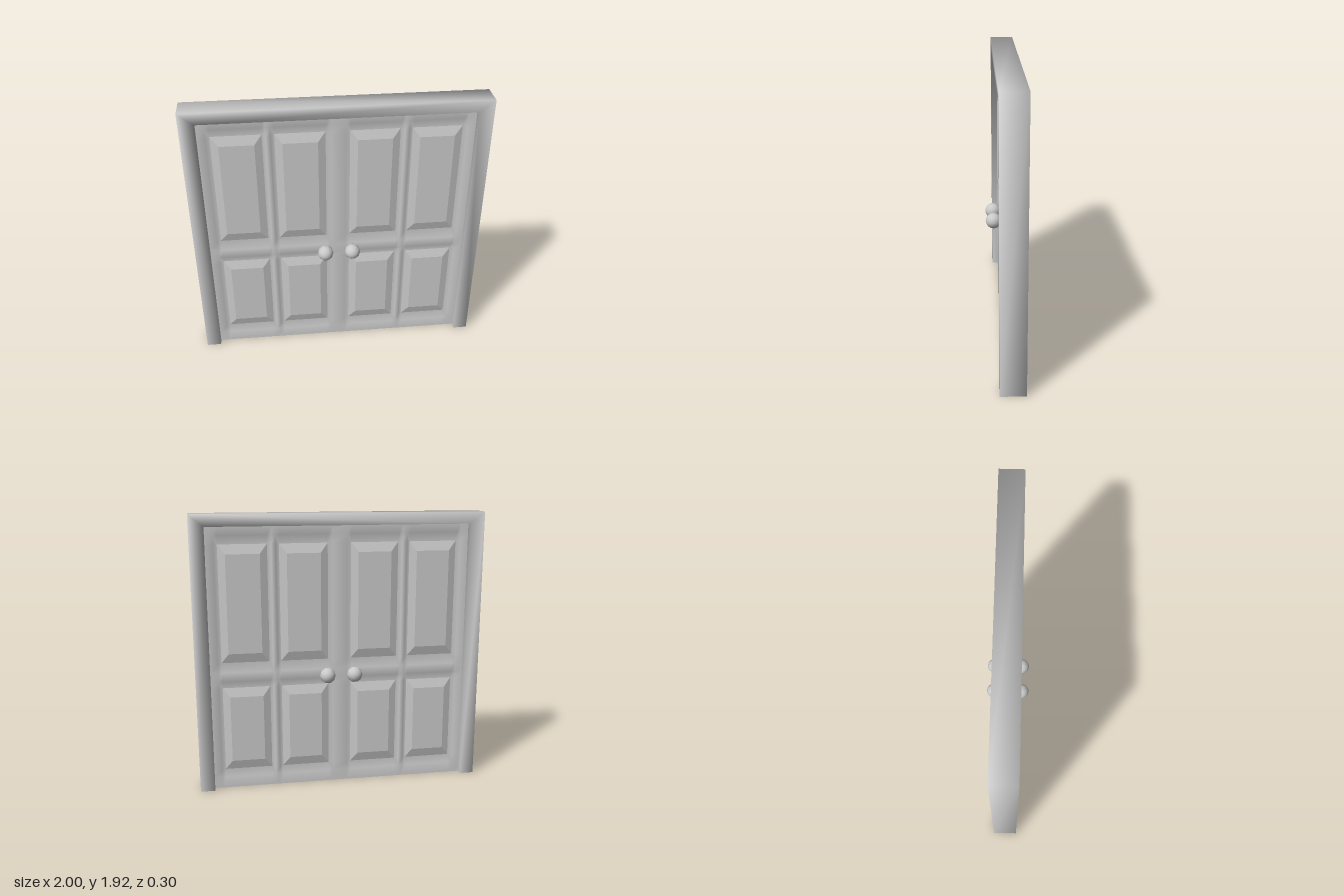
import * as THREE from 'three';
import { mergeVertices } from 'three/addons/utils/BufferGeometryUtils.js';

const FACE = 0.04, DEEP = 0.015, FIELD = 0.033;
const material = new THREE.MeshStandardMaterial({ color: 0xcccccc });
const flat = new THREE.MeshStandardMaterial({ color: 0xcccccc, flatShading: true });

// Recess floors: columns (x) and rows (y)
const columns = [[-0.82, -0.49], [-0.41, -0.08], [0.08, 0.41], [0.49, 0.82]];
const rows = [[0.13, 0.73], [0.91, 1.72]];

function addMesh(parent, name, geometry, mat = material) {
  const mesh = new THREE.Mesh(geometry, mat);
  mesh.name = name;
  parent.add(mesh);
  return mesh;
}

// Weld all corners so the shading rolls softly around the edges
function soften(geometry) {
  geometry.deleteAttribute('normal');
  geometry.deleteAttribute('uv');
  const welded = mergeVertices(geometry, 1e-4);
  welded.computeVertexNormals();
  return welded;
}

// Door face: a grid whose inner points sink, with mitred recess corners
function doorFaceGeometry() {
  const xs = [-0.9, -0.845, -0.82, -0.49, -0.465, -0.435, -0.41, -0.08, -0.05,
    0.05, 0.08, 0.41, 0.435, 0.465, 0.49, 0.82, 0.845, 0.9];
  const ys = [0, 0.08, 0.13, 0.73, 0.78, 0.845, 0.91, 1.72, 1.78, 1.84];
  const sunk = (x, y) => columns.some((c) => c.includes(x)) && rows.some((r) => r.includes(y));
  const positions = [], index = [], n = xs.length;
  for (const y of ys) for (const x of xs) positions.push(x, y, sunk(x, y) ? DEEP : FACE);
  for (let j = 0; j < ys.length - 1; j++) {
    for (let i = 0; i < n - 1; i++) {
      const a = j * n + i, b = a + 1, d = a + n, c = d + 1;
      const mitreBD = sunk(xs[i + 1], ys[j]) || sunk(xs[i], ys[j + 1]);
      if (mitreBD) index.push(a, b, d, b, c, d);
      else index.push(a, b, c, a, c, d);
    }
  }
  const geometry = new THREE.BufferGeometry();
  geometry.setAttribute('position', new THREE.Float32BufferAttribute(positions, 3));
  geometry.setIndex(index);
  geometry.computeVertexNormals();
  return geometry;
}

// Raised panel: a block whose front corners are drawn in to form the bevel
function raisedPanelGeometry(w, h) {
  const depth = FIELD - DEEP;
  const geometry = new THREE.BoxGeometry(w, h, depth);
  const p = geometry.attributes.position;
  for (let i = 0; i < p.count; i++) {
    if (p.getZ(i) > 0) {
      p.setX(i, p.getX(i) - Math.sign(p.getX(i)) * 0.05);
      p.setY(i, p.getY(i) - Math.sign(p.getY(i)) * 0.065);
    }
  }
  geometry.translate(0, 0, DEEP + depth / 2);
  return geometry;
}

// One side of the double door: face, panels and knobs
function createDoorSide(name) {
  const side = new THREE.Group();
  side.name = name;
  addMesh(side, 'doorFace', doorFaceGeometry());
  for (const [x0, x1] of columns) {
    for (const [y0, y1] of rows) {
      const panel = addMesh(side, 'raisedPanel', raisedPanelGeometry(x1 - x0, y1 - y0), flat);
      panel.position.set((x0 + x1) / 2, (y0 + y1) / 2, 0);
    }
  }
  for (const x of [-0.095, 0.095]) {
    const knob = addMesh(side, 'knob', new THREE.SphereGeometry(0.055, 10, 8).rotateX(Math.PI / 2));
    knob.position.set(x, 0.81, 0.095);
    const neck = addMesh(side, 'knobNeck', new THREE.CylinderGeometry(0.02, 0.02, 0.05, 8).rotateX(Math.PI / 2));
    neck.position.set(x, 0.81, 0.055);
  }
  return side;
}

export function createModel() {
  const model = new THREE.Group();
  model.name = 'doubleDoor';

  // Frame around the top and sides
  const outline = new THREE.Shape([
    [-1, 0], [-0.9, 0], [-0.9, 1.84], [0.9, 1.84], [0.9, 0], [1, 0], [1, 1.92], [-1, 1.92],
  ].map(([x, y]) => new THREE.Vector2(x, y)));
  const frame = new THREE.ExtrudeGeometry(outline, { depth: 0.17, bevelEnabled: false });
  frame.translate(0, 0, -0.085);
  addMesh(model, 'doorFrame', soften(frame));

  // Both faces of the door, and its underside
  model.add(createDoorSide('frontSide'));
  const back = createDoorSide('backSide');
  back.rotation.y = Math.PI;
  model.add(back);
  addMesh(model, 'doorUnderside', new THREE.PlaneGeometry(1.8, FACE * 2).rotateX(Math.PI / 2));
  return model;
}
